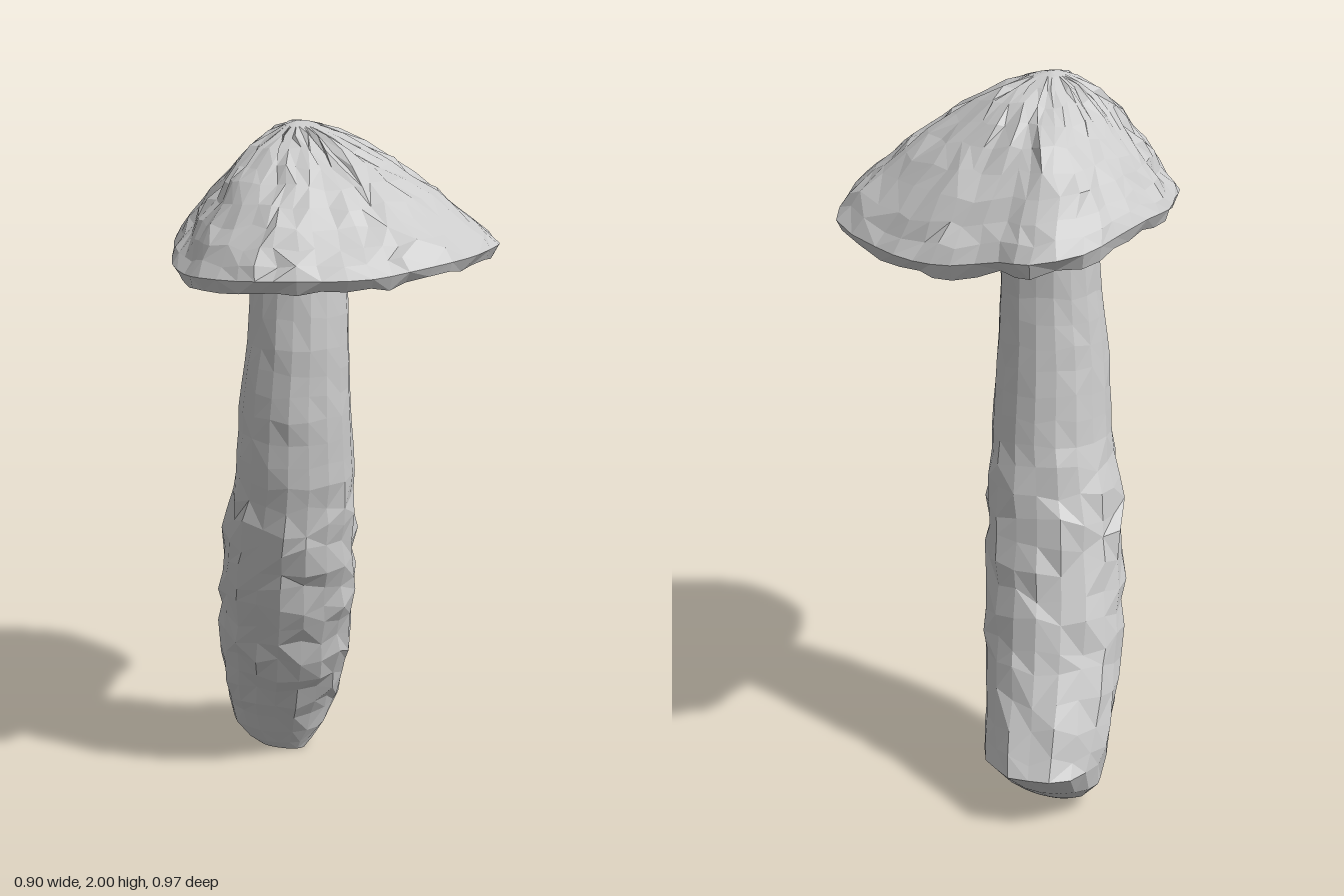
import * as THREE from 'three';

// Repeatable noise in -1..1
function noise(i, j) {
  const s = Math.sin(i * 127.1 + j * 311.7) * 43758.5453;
  return (s - Math.floor(s)) * 2 - 1;
}

// Skin closed rings of equal size, listed from the top down
function skin(name, rings) {
  const n = rings[0].length;
  const index = [];
  for (let r = 0; r < rings.length - 1; r++) {
    for (let i = 0; i < n; i++) {
      const k = (i + 1) % n;
      const a = r * n + i, b = r * n + k, c = a + n, d = b + n;
      if (noise(r, i + 50) > 0) index.push(a, b, c, b, d, c);
      else index.push(a, b, d, a, d, c);
    }
  }
  const indexed = new THREE.BufferGeometry().setFromPoints(rings.flat());
  indexed.setIndex(index);
  const geometry = indexed.toNonIndexed();
  geometry.computeVertexNormals();
  const mesh = new THREE.Mesh(geometry, new THREE.MeshStandardMaterial({ color: 0xcccccc, flatShading: true }));
  mesh.name = name;
  return mesh;
}

// Bent stem from horizontal sections: y, x min, x max, z min, z max
function createStem() {
  const sections = [
    [1.66, -0.22, 0.04, -0.11, 0.13],
    [1.4, -0.23, 0.05, -0.12, 0.165],
    [1.2, -0.26, 0.055, -0.145, 0.175],
    [1.0, -0.28, 0.06, -0.18, 0.165],
    [0.8, -0.33, 0.05, -0.23, 0.145],
    [0.6, -0.365, 0.035, -0.28, 0.09],
    [0.4, -0.39, 0.0, -0.35, 0.02],
    [0.2, -0.41, -0.06, -0.455, -0.09],
    [0.15, -0.41, -0.08, -0.48, -0.12],
    [0.08, -0.395, -0.105, -0.4, -0.165],
    [0.03, -0.35, -0.14, -0.33, -0.195],
    [0.0, -0.3, -0.16, -0.28, -0.22],
  ];
  // Add in-between sections along the long part
  const rows = [];
  sections.forEach((s, k) => {
    rows.push(s);
    const next = sections[k + 1];
    if (!next || s[0] - next[0] < 0.1) return;
    for (const t of [1 / 3, 2 / 3]) rows.push(s.map((v, c) => v + (next[c] - v) * t));
  });
  const sides = 18;
  const rings = rows.map(([y, x0, x1, z0, z1], r) =>
    Array.from({ length: sides }, (_, i) => {
      const a = (i / sides) * Math.PI * 2;
      const rough = y > 0.12 && y < 1 ? 1 : 0.4;
      const s = 1 + noise(r, i) * 0.05 * rough;
      const dy = y > 0.15 && y < 1.6 ? noise(i, r + 9) * 0.018 * rough : 0;
      return new THREE.Vector3(
        (x0 + x1) / 2 + (Math.cos(a) * s * (x1 - x0)) / 2,
        y + dy,
        (z0 + z1) / 2 + (Math.sin(a) * s * (z1 - z0)) / 2
      );
    })
  );
  const base = new THREE.Vector3(-0.23, 0, -0.25);
  rings.push(Array.from({ length: sides }, () => base.clone()));
  return skin('stem', rings);
}

// Lopsided cap: dome, ragged lip and shallow underside
function createCap() {
  const rimPoints = [
    [0.45, 1.68, -0.06], [0.43, 1.69, 0.1], [0.39, 1.7, 0.24], [0.3, 1.69, 0.33],
    [0.22, 1.68, 0.39], [0.1, 1.68, 0.45], [-0.02, 1.68, 0.48], [-0.12, 1.67, 0.465],
    [-0.24, 1.66, 0.42], [-0.3, 1.65, 0.36], [-0.365, 1.65, 0.27], [-0.41, 1.66, 0.13],
    [-0.45, 1.66, 0], [-0.445, 1.66, -0.13], [-0.42, 1.64, -0.27], [-0.39, 1.62, -0.4],
    [-0.28, 1.6, -0.485], [-0.18, 1.59, -0.46], [-0.05, 1.57, -0.48], [0.06, 1.57, -0.48],
    [0.2, 1.58, -0.43], [0.38, 1.61, -0.33], [0.42, 1.65, -0.2],
  ].map((p) => new THREE.Vector3(...p));
  const sides = 46;
  const rim = new THREE.CatmullRomCurve3(rimPoints, true).getPoints(sides).slice(0, sides);
  const apex = new THREE.Vector3(-0.1, 2, 0);
  const under = new THREE.Vector3(-0.09, 1.625, 0.01);
  const rings = [];

  // Dome, steeper at the front and back than at the sides
  const steps = [0, 0.1, 0.22, 0.34, 0.46, 0.57, 0.68, 0.78, 0.87, 0.94, 1];
  steps.forEach((t, r) => {
    rings.push(rim.map((p, i) => {
      const a = Math.atan2(p.z, p.x - apex.x);
      const power = 1.45 + 0.32 * Math.sin(a) ** 2;
      const bump = t > 0.15 && t < 1 ? 0.011 : 0;
      const v = apex.clone().lerp(p, t);
      v.x += noise(r, i) * bump;
      v.z += noise(r + 20, i) * bump;
      v.y = apex.y + (p.y - apex.y) * t ** power + noise(r + 40, i) * bump * 0.7;
      return v;
    }));
  });

  // Turned-under lip
  const lip = rim.map((p, i) => {
    const v = p.clone().lerp(under, 0.035 + 0.02 * noise(i, 3));
    v.y = p.y - 0.035 + 0.009 * noise(i, 7);
    return v;
  });
  rings.push(lip);

  // Underside running in to the stem
  for (const t of [0.25, 0.5, 0.75, 1]) {
    rings.push(lip.map((p, i) => {
      const v = p.clone().lerp(under, t);
      if (t < 1) v.y += 0.006 * noise(i, t * 40);
      return v;
    }));
  }
  return skin('cap', rings);
}

export function createModel() {
  const group = new THREE.Group();
  group.name = 'mushroom';
  group.add(createStem(), createCap());
  return group;
}
